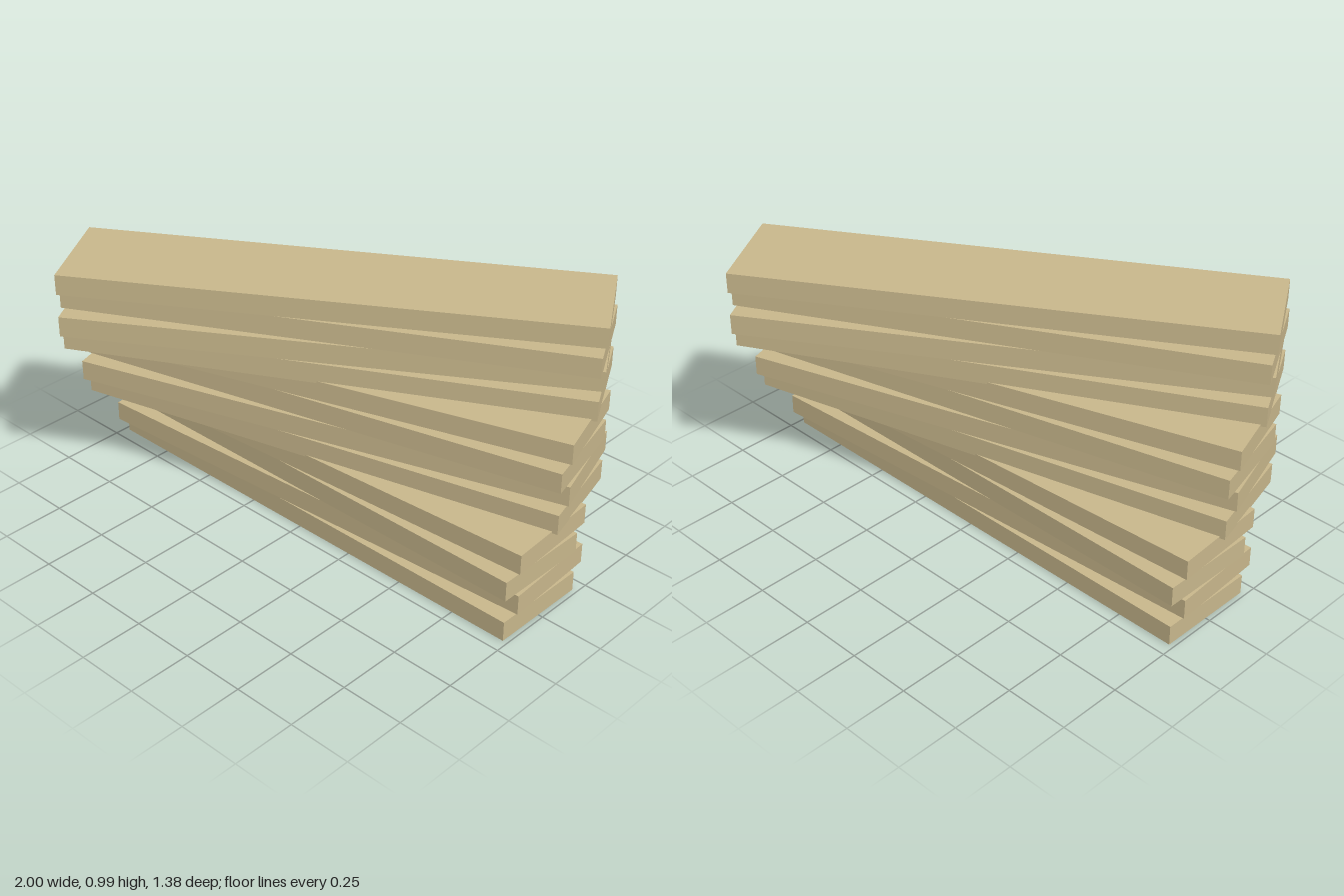
import * as THREE from 'three';

export function createModel() {
  const model = new THREE.Group();
  model.name = 'twistedPlankStack';
  const wood = new THREE.MeshStandardMaterial({ color: 0xc8b78c });
  wood.name = 'pale wood';

  const plank = new THREE.BoxGeometry(1.962, 0.079, 0.395);

  // Three bundles of four planks, each bundle turned further than the one below
  for (let b = 0; b < 3; b++) {
    const bundle = new THREE.Group();
    bundle.name = `bundle${b + 1}`;
    bundle.position.y = b * 0.328;
    bundle.rotation.y = b * 0.25;

    // Every second plank is laid slightly askew
    for (let i = 0; i < 4; i++) {
      const mesh = new THREE.Mesh(plank, wood);
      mesh.name = `plank${i + 1}`;
      mesh.position.y = 0.0395 + i * 0.0855;
      mesh.rotation.y = (i % 2) * 0.061;
      bundle.add(mesh);
    }
    model.add(bundle);
  }
  return model;
}
